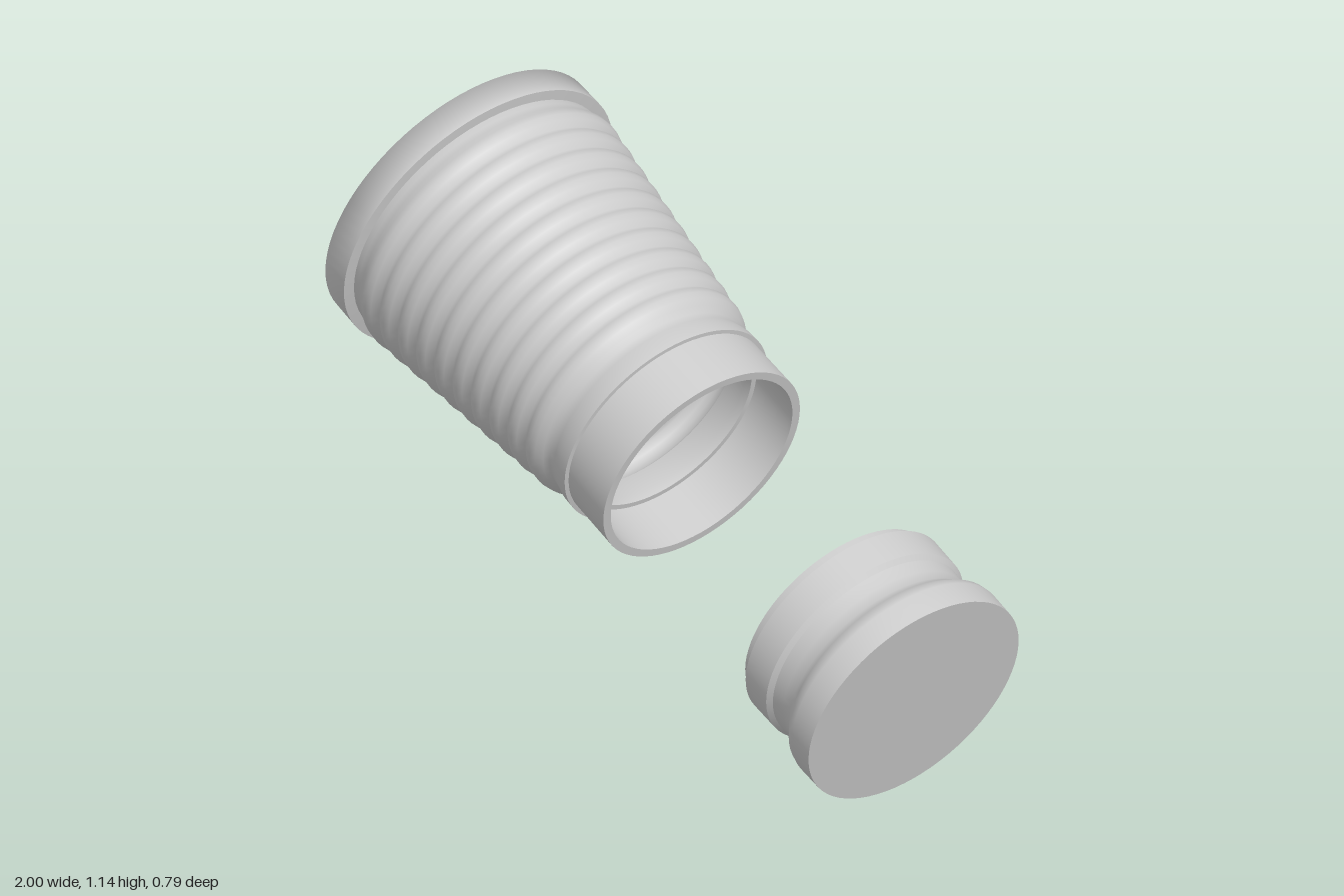
import * as THREE from 'three';

const SEGMENTS = 72;
const plastic = new THREE.MeshStandardMaterial({ color: 0xcccccc });
plastic.name = 'lightGrey';

// Each run of [radius, height] points is smooth; edges between runs stay sharp.
function turned(name, ...runs) {
  const group = new THREE.Group();
  group.name = name;
  runs.forEach((run, i) => {
    const points = run.map(([r, h]) => new THREE.Vector2(r, h));
    const mesh = new THREE.Mesh(new THREE.LatheGeometry(points, SEGMENTS), plastic);
    mesh.name = name + (i + 1);
    group.add(mesh);
  });
  return group;
}

// Ribbed cone profile between two heights, with shallow rounded ribs
function ribs(r0, h0, r1, h1, count, depth) {
  const bump = [[0, 0], [0.25, 0.8], [0.5, 1], [0.75, 0.8]];
  const points = [];
  for (let i = 0; i < count; i++) {
    for (const [f, d] of bump) {
      const k = (i + f) / count;
      points.push([r0 + (r1 - r0) * k + d * depth, h0 + (h1 - h0) * k]);
    }
  }
  points.push([r1, h1]);
  return points;
}

export function createModel() {
  const model = new THREE.Group();
  model.name = 'cupAndStopper';

  // Both pieces share one tilted axis, with height 0 at the cup's mouth
  const axis = new THREE.Group();
  axis.name = 'tiltedAxis';
  axis.position.set(0.075, 0.515, 0);
  axis.rotation.z = -THREE.MathUtils.degToRad(104);
  model.add(axis);

  // Wide bevelled base with a rounded shade across its edges
  axis.add(turned('base',
    [[0, -1.042], [0.268, -1.042], [0.394, -1.0], [0.396, -0.921]],
    [[0.396, -0.921], [0.368, -0.918]]));

  // Ribbed tapering wall
  axis.add(turned('ribbedWall',
    [[0.368, -0.92], [0.371, -0.9], ...ribs(0.372, -0.885, 0.299, -0.235, 10, 0.014)]));

  // Collar and straight neck
  axis.add(turned('collar',
    [[0.299, -0.235], [0.289, -0.222], [0.292, -0.2], [0.298, -0.175], [0.299, -0.147]],
    [[0.299, -0.147], [0.288, -0.146]]));
  axis.add(turned('neck',
    [[0.288, -0.146], [0.29, 0]],
    [[0.29, 0], [0.268, 0]],
    [[0.268, 0], [0.266, -0.146]]));

  // Hollow inside: a ledge, the inner ribs and the floor
  axis.add(turned('inside',
    [[0.266, -0.146], [0.252, -0.146]],
    [[0.252, -0.146], [0.252, -0.17], [0.266, -0.235],
      ...ribs(0.275, -0.235, 0.348, -0.885, 10, 0.014), [0.355, -1.0]],
    [[0.355, -1.0], [0, -1.0]]));

  // Separate stopper: plug end, ring, groove and flared head
  axis.add(turned('stopper',
    [[0, 0.562], [0.274, 0.562]],
    [[0.274, 0.562], [0.276, 0.588]],
    [[0.276, 0.588], [0.292, 0.589]],
    [[0.292, 0.589], [0.291, 0.672]],
    [[0.291, 0.672], [0.279, 0.683]],
    [[0.279, 0.683], [0.276, 0.72], [0.279, 0.75], [0.293, 0.77], [0.307, 0.787], [0.311, 0.805], [0.31, 0.873]],
    [[0.31, 0.873], [0, 0.873]]));

  return model;
}
